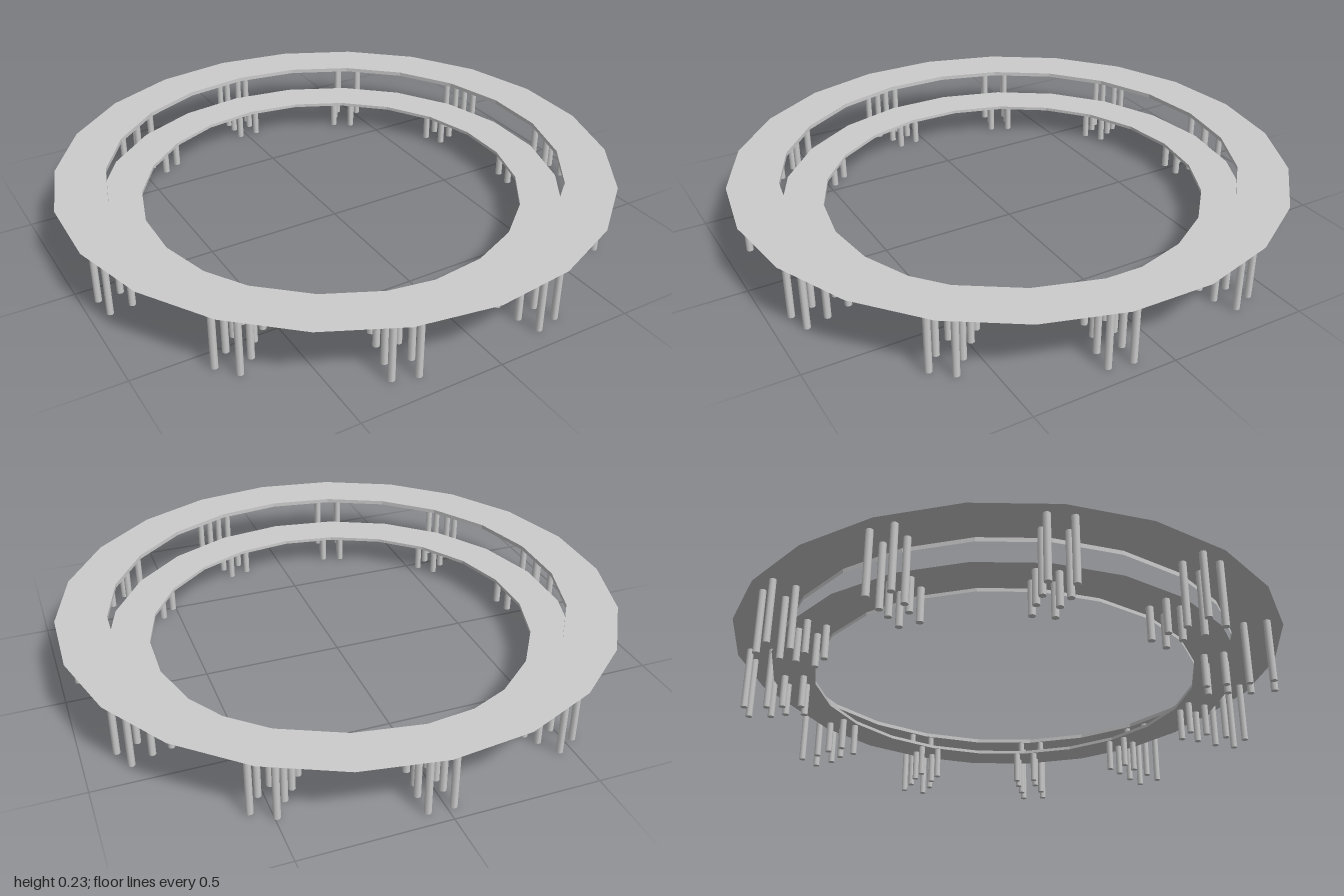
import * as THREE from 'three';

const SIDES = 22;
const CLUSTERS = 11;
const START = THREE.MathUtils.degToRad(-88.8); // angle of the first corner, from +x toward +z

const sheet = new THREE.MeshStandardMaterial({ color: 0xcccccc, flatShading: true, side: THREE.DoubleSide });
const solid = new THREE.MeshStandardMaterial({ color: 0xcccccc });

// Thin flat ring with a short lip hanging from its inner edge
function ringSheet(outer, inner, y, lip) {
  const profile = [[inner, y - lip], [inner, y], [outer, y]].map(([r, h]) => new THREE.Vector2(r, h));
  return new THREE.Mesh(new THREE.LatheGeometry(profile, SIDES, Math.PI / 2 - START), sheet);
}

// One tier: ring plus a 2 x 2 cluster of posts under every second corner
function tier(name, scale, top, lip) {
  const group = new THREE.Group();
  group.name = name;

  const ring = ringSheet(scale, 0.82 * scale, top, lip);
  ring.name = name + 'Ring';
  group.add(ring);

  const postGeometry = new THREE.CylinderGeometry(0.0125, 0.0125, top, 8);
  for (let i = 0; i < CLUSTERS; i++) {
    const a = START + (i / CLUSTERS) * Math.PI * 2;
    const cluster = new THREE.Group();
    cluster.name = name + 'PostCluster';
    cluster.rotation.y = -a;
    for (const r of [0.945, 0.865]) {
      for (const t of [-0.0425, 0.0425]) {
        const post = new THREE.Mesh(postGeometry, solid);
        post.name = name + 'Post';
        post.position.set(r * scale, top / 2, t * scale);
        cluster.add(post);
      }
    }
    group.add(cluster);
  }
  return group;
}

export function createModel() {
  const model = new THREE.Group();
  model.name = 'tieredRingPlatform';

  // Tall outer tier
  model.add(tier('upper', 1, 0.23, 0.015));

  // Low inner tier, set slightly toward the back
  const lower = tier('lower', 0.842, 0.12, 0.012);
  lower.position.set(-0.005, 0, -0.018);
  model.add(lower);

  return model;
}
